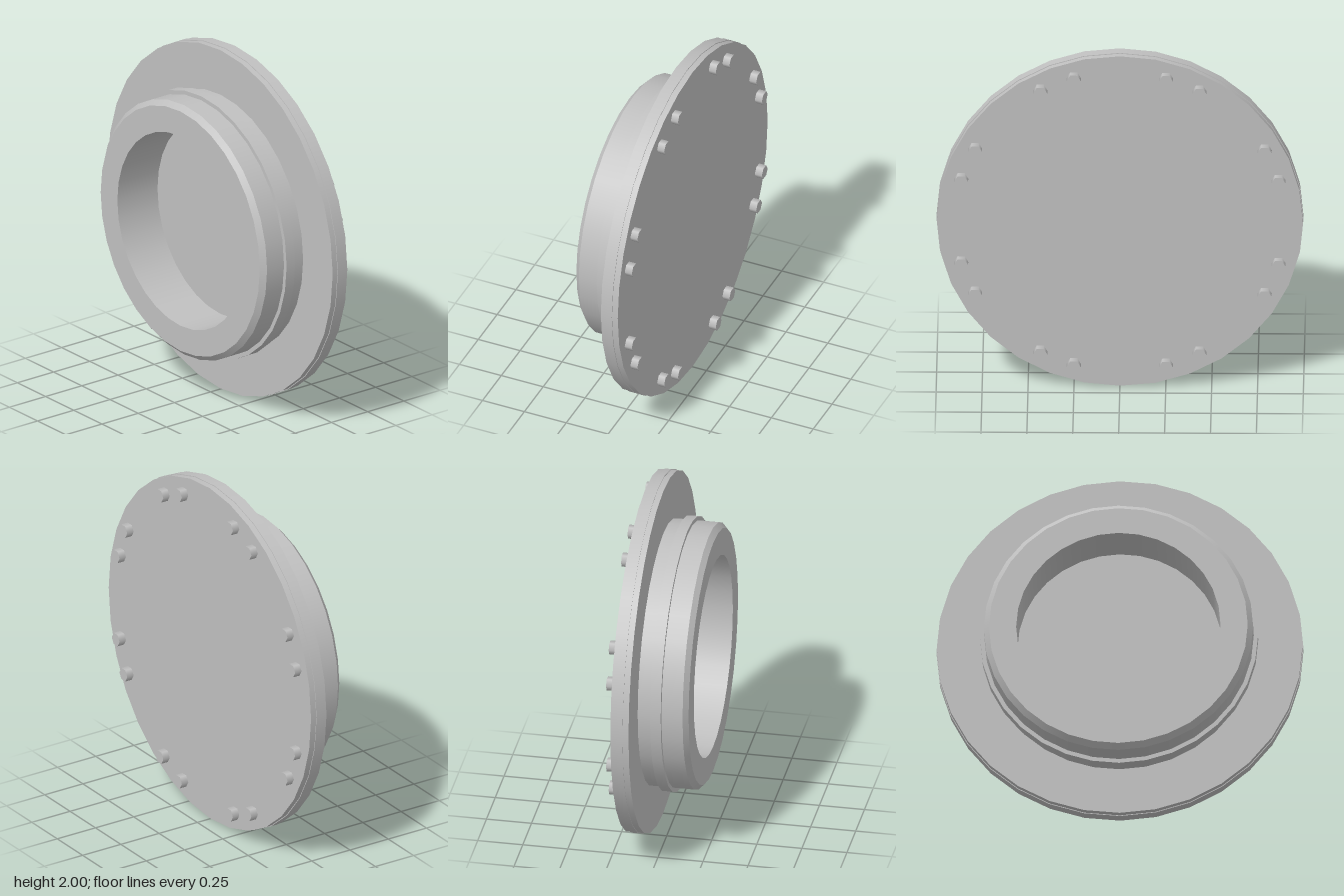
import * as THREE from 'three';
import { mergeGeometries } from 'three/addons/utils/BufferGeometryUtils.js';

const SIDES = 32;

// Revolve a [radius, z] profile about the z axis, keeping every profile corner sharp
function revolve(profile) {
  const strips = [];
  for (let i = 0; i < profile.length - 1; i++) {
    const pair = [profile[i], profile[i + 1]].map(([r, z]) => new THREE.Vector2(r, z));
    strips.push(new THREE.LatheGeometry(pair, SIDES));
  }
  return mergeGeometries(strips).rotateX(Math.PI / 2);
}

// Solid disc along z between two depths
function disc(radius, z0, z1, sides = SIDES, start = 0) {
  return new THREE.CylinderGeometry(radius, radius, z1 - z0, sides, 1, false, start)
    .rotateX(Math.PI / 2)
    .translate(0, 0, (z0 + z1) / 2);
}

export function createModel() {
  const model = new THREE.Group();
  model.name = 'flangedCap';
  const metal = new THREE.MeshStandardMaterial({ color: 0xc0c0c0 });
  metal.name = 'light grey metal';

  const add = (name, geometry, x = 0, y = 0) => {
    const mesh = new THREE.Mesh(geometry, metal);
    mesh.name = name;
    mesh.position.set(x, 1 + y, 0);
    model.add(mesh);
  };

  // Flange plates with a barely proud gasket between them
  add('backPlate', disc(0.996, -0.168, -0.134));
  add('gasket', disc(1, -0.134, -0.1));
  add('frontPlate', disc(0.996, -0.1, -0.067));

  // Hollow collar with a chamfered front rim
  add('collar', revolve([
    [0.734, -0.067], [0.734, 0.182], [0.705, 0.21], [0.557, 0.21], [0.557, -0.067],
  ]));

  // Raised band around the collar
  add('collarBand', revolve([[0.73, 0.006], [0.757, 0.006], [0.757, 0.065], [0.73, 0.065]]));

  // Eight pairs of hexagonal bolt heads on the back
  const bolt = disc(0.0385, -0.21, -0.167, 6, Math.PI / 2);
  for (let i = 0; i < 8; i++) {
    for (const side of [-1, 1]) {
      const a = THREE.MathUtils.degToRad(22.5 + 45 * i + 6.3 * side);
      add('bolt', bolt, 0.9 * Math.cos(a), 0.9 * Math.sin(a));
    }
  }
  return model;
}
